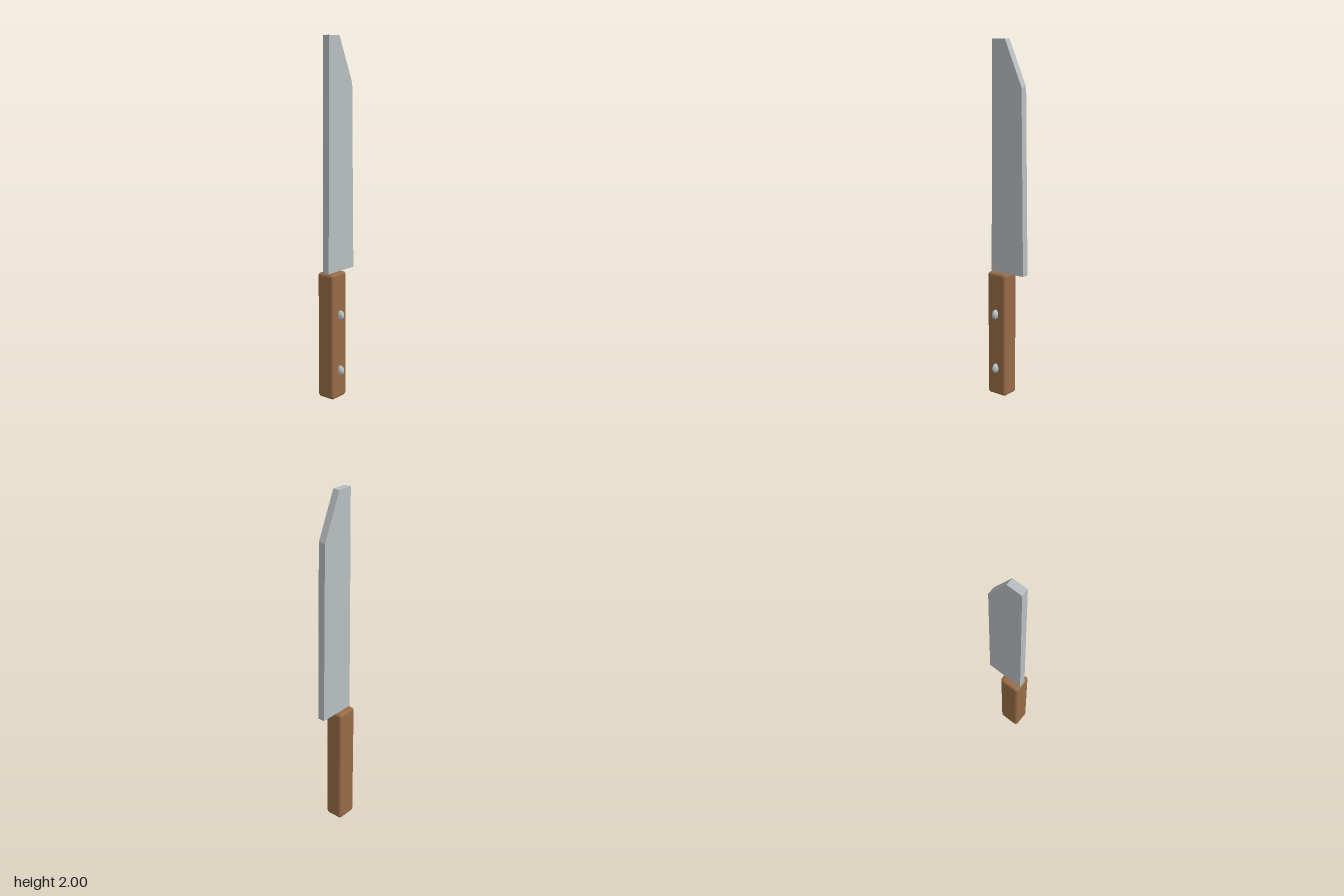
import * as THREE from 'three';
import { RoundedBoxGeometry } from 'three/addons/geometries/RoundedBoxGeometry.js';

export function createModel() {
  const steel = new THREE.MeshStandardMaterial({ name: 'steel', color: 0xb8bec2 });
  const wood = new THREE.MeshStandardMaterial({ name: 'wood', color: 0x966b46 });
  const rivetMetal = new THREE.MeshStandardMaterial({ name: 'rivetMetal', color: 0xbcc1c5 });

  const model = new THREE.Group();
  model.name = 'knife';
  const add = (name, geometry, material, x, y, z) => {
    const mesh = new THREE.Mesh(geometry, material);
    mesh.name = name;
    mesh.position.set(x, y, z);
    model.add(mesh);
    return mesh;
  };

  // Handle: long block with softly rounded edges
  add('handle', new RoundedBoxGeometry(0.125, 0.722, 0.109, 4, 0.018), wood, -0.0515, 0.361, -0.0155);

  // Blade: flat slab with a clipped tip and a heel overhanging the handle
  const outline = new THREE.Shape([
    [-0.108, 0.722], [0.113, 0.722], [0.098, 1.75], [-0.013, 2], [-0.1, 2],
  ].map(([x, y]) => new THREE.Vector2(x, y)));
  add('blade', new THREE.ExtrudeGeometry(outline, { depth: 0.041, bevelEnabled: false }), steel, 0, 0, -0.035);

  // Rivets: oval studs on the front of the handle
  for (const [name, y] of [['lowerRivet', 0.162], ['upperRivet', 0.483]]) {
    add(name, new THREE.SphereGeometry(1, 24, 16), rivetMetal, -0.052, y, 0.043)
      .scale.set(0.017, 0.028, 0.024);
  }

  return model;
}
